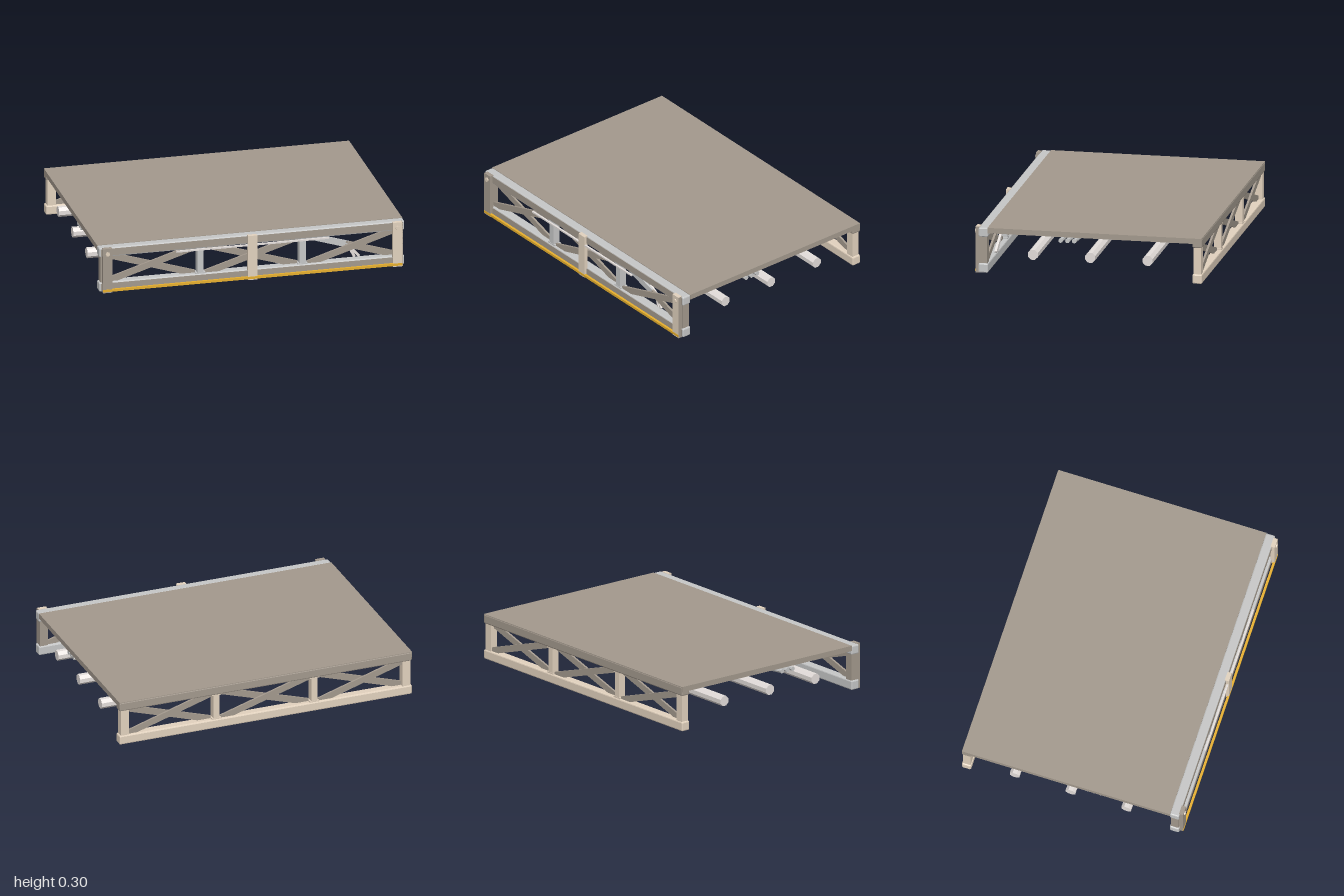
import * as THREE from 'three';
import { RoundedBoxGeometry } from 'three/addons/geometries/RoundedBoxGeometry.js';

const mat = (name, color) => {
  const m = new THREE.MeshStandardMaterial({ color, flatShading: true });
  m.name = name;
  return m;
};

export function createModel() {
  const taupe = mat('taupe', 0xa3998d);
  const tan = mat('tan', 0xe2d2be);
  const steel = mat('steel grey', 0xc6c7c7);
  const pipeGrey = mat('pipe grey', 0xe4dedb);
  const yellow = mat('amber', 0xe8b02e);

  const model = new THREE.Group();
  model.name = 'bridgeSection';

  const add = (parent, name, geometry, material) => {
    const mesh = new THREE.Mesh(geometry, material);
    mesh.name = name;
    parent.add(mesh);
    return mesh;
  };
  // Box given by its limits on each axis
  const box = (parent, name, material, [x0, x1], [y0, y1], [z0, z1], bevel = 0) => {
    const size = [x1 - x0, y1 - y0, z1 - z0];
    const g = bevel ? new RoundedBoxGeometry(...size, 1, bevel) : new THREE.BoxGeometry(...size);
    const mesh = add(parent, name, g, material);
    mesh.position.set((x0 + x1) / 2, (y0 + y1) / 2, (z0 + z1) / 2);
    return mesh;
  };
  // Flat bar between two points in the plane of a truss
  const bar = (parent, name, material, [x0, y0], [x1, y1], z) => {
    const dx = x1 - x0, dy = y1 - y0;
    const mesh = add(parent, name, new THREE.BoxGeometry(Math.hypot(dx, dy), 0.042, 0.014), material);
    mesh.position.set((x0 + x1) / 2, (y0 + y1) / 2, z);
    mesh.rotation.z = Math.atan2(dy, dx);
    return mesh;
  };

  // Deck slab
  box(model, 'deck', taupe, [-1, 1], [0.265, 0.3], [-0.737, 0.652]);

  // Side trusses: two chords, uprights and three crossed panels
  const truss = (name, z, top, bottom, post, upright, brace) => {
    const g = new THREE.Group();
    g.name = name;
    model.add(g);
    const span = [z - 0.031, z + 0.031];
    box(g, 'topChord', top, [-1, 1], [0.238, 0.299], span, 0.008);
    box(g, 'bottomChord', bottom, [-1, 1], [0.003, 0.065], span, 0.008);
    for (const s of [-1, 1]) {
      box(g, 'endPost', post, s < 0 ? [-0.99, -0.935] : [0.935, 0.99], [0.06, 0.245], [z - 0.025, z + 0.025]);
      // I-section upright
      const x = s * 0.335;
      box(g, 'uprightWeb', upright, [x - 0.021, x + 0.021], [0.06, 0.245], [z - 0.024, z + 0.024]);
      for (const y of [0.064, 0.232]) {
        box(g, 'uprightPlate', upright, [x - 0.032, x + 0.032], [y, y + 0.008], [z - 0.026, z + 0.026]);
      }
    }
    for (const [a, b] of [[-0.96, -0.37], [-0.3, 0.3], [0.37, 0.96]]) {
      const broken = name === 'frontTruss' && a > 0;
      bar(g, 'risingBrace', brace, [a, 0.06], [b, 0.245], z + 0.008);
      if (!broken) bar(g, 'fallingBrace', brace, [a, 0.245], [b, 0.06], z - 0.008);
      else {
        bar(g, 'loosenedBrace', steel, [a, 0.245], [0.64, 0.16], z - 0.008);
        bar(g, 'lowerBrace', brace, [0.62, 0.166], [b, 0.06], z - 0.008);
      }
    }
    return g;
  };
  const front = truss('frontTruss', 0.68, steel, steel, taupe, steel, taupe);
  truss('backTruss', -0.708, taupe, tan, tan, tan, taupe);

  // Facing strips on the front chords
  for (const [y0, y1] of [[0.246, 0.292], [0.012, 0.058]]) {
    box(front, 'chordFacing', taupe, [-0.99, 0.99], [y0, y1], [0.709, 0.713]);
  }

  // Front posts with bolts on the outer two
  for (const [x, material] of [[-0.95, taupe], [0, tan], [0.95, tan]]) {
    box(front, 'frontPost', material, [x - 0.03, x + 0.03], [0, 0.3], [0.705, 0.733]);
    if (x) {
      const bolt = add(front, 'bolt', new THREE.CylinderGeometry(0.014, 0.014, 0.012, 8), tan);
      bolt.rotation.x = Math.PI / 2;
      bolt.position.set(x, 0.265, 0.735);
    }
  }
  // Side cover on the left post
  box(front, 'postSideCover', taupe, [0.979, 0.983], [0, 0.3], [0.705, 0.733]);
  // Marker strip along the foot of the front truss
  box(front, 'markerStrip', yellow, [-0.98, 0.98], [0.007, 0.023], [0.72, 0.7355]);
  // Slim pale rail under the upper chord
  box(front, 'paleRail', pipeGrey, [-0.5, 0.5], [0.231, 0.241], [0.718, 0.731]);

  // Three pipes beneath the deck
  for (const z of [0.358, -0.014, -0.387]) {
    const pipe = add(model, 'pipe', new THREE.CylinderGeometry(0.035, 0.035, 1.99, 8), pipeGrey);
    pipe.rotation.set(Math.PI / 8, 0, Math.PI / 2);
    pipe.position.set(0, 0.137, z);
  }

  // Sagging cables with capped ends
  [[0.18, 0.195], [0.136, 0.191], [0.092, 0.188]].forEach(([z, low]) => {
    const points = [];
    for (let i = -4; i <= 4; i++) {
      points.push(new THREE.Vector3(i * 0.245, low + (0.238 - low) * (i / 4) ** 2, z));
    }
    add(model, 'cable', new THREE.TubeGeometry(new THREE.CatmullRomCurve3(points), 24, 0.014, 8), steel);
    for (const s of [-1, 1]) {
      const cap = add(model, 'cableEnd', new THREE.CylinderGeometry(0.015, 0.015, 0.01, 8), steel);
      cap.rotation.z = Math.PI / 2;
      cap.position.set(s * 0.982, 0.238, z);
    }
  });

  // Forked loose bars hanging inside the front truss
  const looseBar = (p, q) => {
    const a = new THREE.Vector3(...p), b = new THREE.Vector3(...q);
    const mesh = add(model, 'looseBar', new THREE.BoxGeometry(0.016, 0.016, a.distanceTo(b)), pipeGrey);
    mesh.position.copy(a).lerp(b, 0.5);
    mesh.lookAt(b);
  };
  looseBar([0.57, 0.185, 0.643], [0.65, 0.14, 0.646]);
  looseBar([0.645, 0.145, 0.645], [0.715, 0.068, 0.657]);
  looseBar([0.645, 0.145, 0.645], [0.685, 0.068, 0.655]);

  return model;
}
